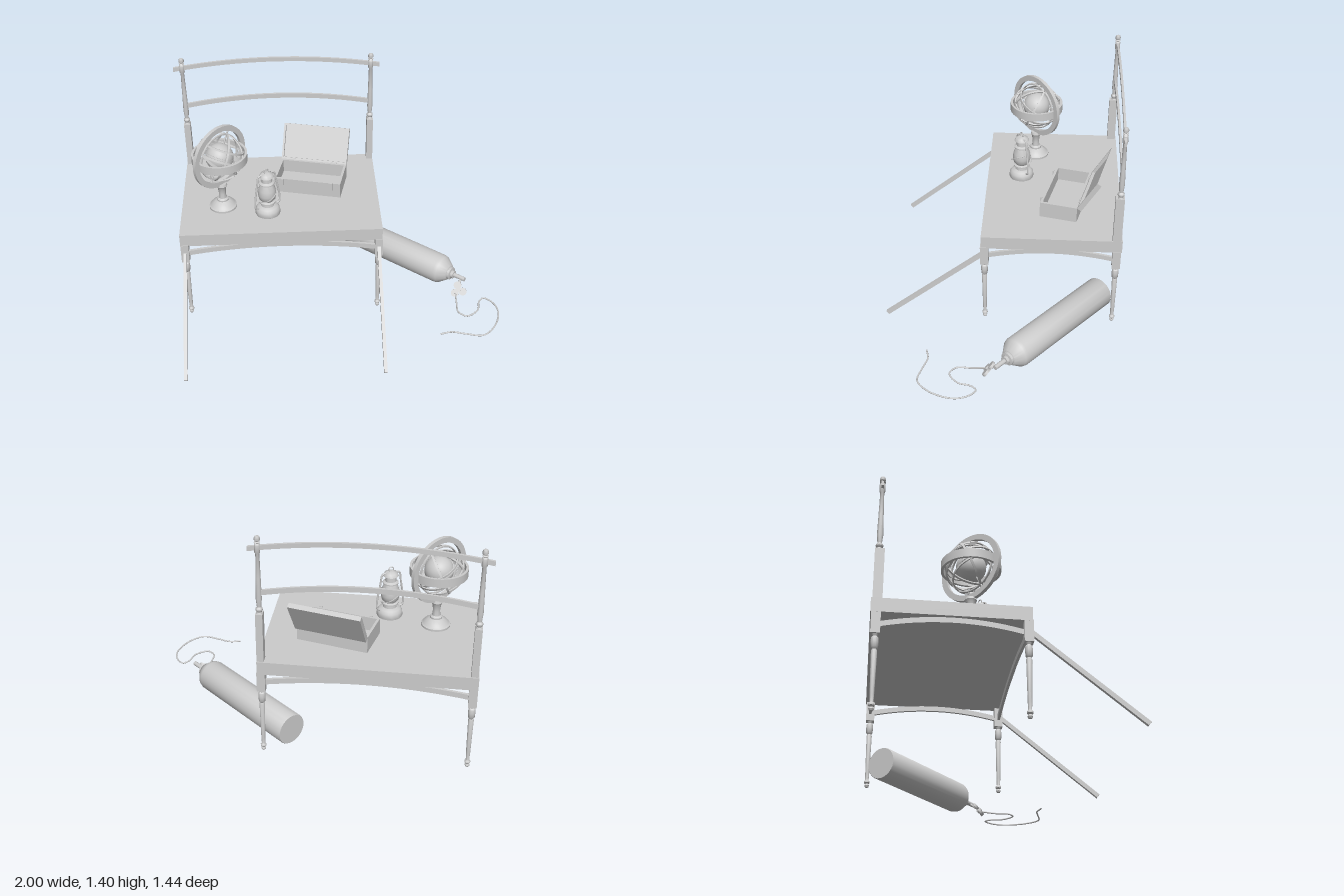
import * as THREE from 'three';
import { toCreasedNormals } from 'three/addons/utils/BufferGeometryUtils.js';

const mat = new THREE.MeshStandardMaterial({ color: 0xcccccc, side: THREE.DoubleSide });
const V = (x, y, z) => new THREE.Vector3(x, y, z);

function add(parent, name, geo, x = 0, y = 0, z = 0) {
  const m = new THREE.Mesh(geo, mat);
  m.name = name;
  m.position.set(x, y, z);
  parent.add(m);
  return m;
}
function group(parent, name, x = 0, y = 0, z = 0) {
  const g = new THREE.Group();
  g.name = name;
  g.position.set(x, y, z);
  parent.add(g);
  return g;
}
const box = (w, h, d) => new THREE.BoxGeometry(w, h, d);
// Turned profile given as [radius, height] pairs, bottom to top
const turned = (pts, seg = 20) => toCreasedNormals(
  new THREE.LatheGeometry(pts.map(p => new THREE.Vector2(p[0], p[1])), seg), 0.7);
// Flat hoop around the y axis
const hoop = (rIn, rOut, h, seg = 48) => turned(
  [[rOut, -h / 2], [rOut, h / 2], [rIn, h / 2], [rIn, -h / 2], [rOut, -h / 2]], seg);
const tube = (pts, r, seg = 40) => new THREE.TubeGeometry(new THREE.CatmullRomCurve3(pts), seg, r, 8);

// Bowed bar of constant thickness, running along x and centred on z
function bowedBar(half, yEnd, yMid, thick, depth) {
  const t = thick / 2, c = 2 * yMid - yEnd, s = new THREE.Shape();
  s.moveTo(-half, yEnd - t);
  s.quadraticCurveTo(0, c - t, half, yEnd - t);
  s.lineTo(half, yEnd + t);
  s.quadraticCurveTo(0, c + t, -half, yEnd + t);
  const g = new THREE.ExtrudeGeometry(s, { depth, bevelEnabled: false, curveSegments: 20 });
  g.translate(0, 0, -depth / 2);
  return toCreasedNormals(g, 0.5);
}

const XL = -0.945, XR = 0.235, XC = -0.355, ZF = 0.1, ZB = -0.69, TOP = 0.63;

function buildTable(root) {
  const table = group(root, 'table');
  add(table, 'tableTop', box(1.225, 0.08, 0.84), -0.357, 0.59, -0.3);
  const legProfile = [[0, 0.01], [0.01, 0.01], [0.014, 0.02], [0.01, 0.03], [0.017, 0.038], [0.017, 0.046],
    [0.01, 0.055], [0.012, 0.1], [0.016, 0.335], [0.012, 0.345], [0.019, 0.355], [0.021, 0.385],
    [0.019, 0.41], [0.012, 0.418], [0.017, 0.43]];
  const postProfile = [[0.019, 0.925], [0.013, 0.94], [0.02, 0.95], [0.02, 0.96], [0.012, 0.97], [0.017, 1.02],
    [0.014, 1.15], [0.011, 1.29], [0.016, 1.3], [0.016, 1.345], [0.01, 1.352], [0.017, 1.358], [0.01, 1.364],
    [0.016, 1.37], [0.017, 1.38], [0.012, 1.392], [0, 1.396]];
  for (const x of [XL, XR]) {
    for (const z of [ZF, ZB]) {
      add(table, 'turnedLeg', turned(legProfile, 16), x, 0, z);
      add(table, 'legBlock', box(0.048, 0.125, 0.05), x, 0.4925, z);
    }
    // Back post above the top
    add(table, 'backPostBlock', box(0.04, 0.3, 0.052), x, 0.78, ZB + 0.003);
    add(table, 'turnedBackPost', turned(postProfile, 16), x, 0, ZB);
    // Slanting prop from the front leg to the floor
    const prop = add(table, 'slantedProp', box(0.02, 0.026, 0.765), x, 0.25, 0.415);
    prop.rotation.x = Math.atan2(0.48, 0.595);
    const apron = add(table, 'sideApron', bowedBar(0.39, 0.485, 0.533, 0.03, 0.016), x, 0, -0.295);
    apron.rotation.y = Math.PI / 2;
  }
  for (const z of [ZF, ZB]) add(table, 'longApron', bowedBar(0.58, 0.485, 0.533, 0.032, 0.016), XC, 0, z);
  add(table, 'upperRail', bowedBar(0.645, 1.318, 1.373, 0.027, 0.014), XC, 0, ZB);
  add(table, 'lowerRail', bowedBar(0.585, 1.058, 1.115, 0.03, 0.014), XC, 0, ZB);
}

function buildArmillary(root) {
  const g = group(root, 'armillarySphere', -0.715, TOP, -0.178);
  add(g, 'stand', turned([[0, 0], [0.085, 0], [0.085, 0.012], [0.074, 0.018], [0.068, 0.03], [0.045, 0.045],
    [0.035, 0.05], [0.035, 0.06], [0.024, 0.068], [0.021, 0.1], [0.026, 0.14], [0.034, 0.155], [0.03, 0.17], [0, 0.17]], 28));
  const s = group(g, 'rings', 0, 0.363, 0);
  const meridian = add(s, 'meridianRing', hoop(0.17, 0.203, 0.022));
  meridian.rotation.set(Math.PI / 2, Math.PI / 4, 0, 'YXZ');
  add(s, 'horizonBand', hoop(0.153, 0.168, 0.052));
  // Inner cage, tilted in the plane of the meridian
  const cage = group(s, 'innerCage');
  cage.rotation.set(0, Math.PI / 4, -0.5, 'YXZ');
  add(cage, 'axisRod', new THREE.CylinderGeometry(0.005, 0.005, 0.35, 8));
  add(cage, 'globe', new THREE.SphereGeometry(0.085, 28, 18));
  add(cage, 'globeBelt', hoop(0.083, 0.09, 0.012));
  add(cage, 'equatorRing', hoop(0.142, 0.15, 0.014));
  for (const k of [-1, 1]) add(cage, 'tropicRing', hoop(0.127, 0.134, 0.012), 0, k * 0.062, 0);
  for (const a of [0, Math.PI / 3, -Math.PI / 3]) {
    const r = add(cage, 'colureRing', hoop(0.14, 0.148, 0.012));
    r.rotation.set(Math.PI / 2, a, 0, 'YXZ');
  }
  add(cage, 'eclipticRing', hoop(0.136, 0.143, 0.016)).rotation.x = 0.42;
}

function buildLantern(root) {
  const g = group(root, 'lantern', -0.437, TOP, -0.095);
  g.rotation.y = 0.52;
  add(g, 'fuelTank', turned([[0, 0], [0.075, 0], [0.078, 0.01], [0.074, 0.035], [0.062, 0.05], [0.04, 0.058],
    [0.038, 0.075], [0.05, 0.08], [0.05, 0.088], [0.035, 0.095]], 24));
  add(g, 'glassChimney', turned([[0.035, 0.09], [0.05, 0.11], [0.057, 0.14], [0.052, 0.175], [0.038, 0.215]], 24));
  add(g, 'ventCap', turned([[0.038, 0.21], [0.047, 0.215], [0.047, 0.222], [0.033, 0.23], [0.031, 0.262],
    [0.046, 0.265], [0.038, 0.282], [0.018, 0.292], [0, 0.293]], 24));
  for (const k of [-1, 1]) {
    add(g, 'sideTube', tube([V(k * 0.06, 0.045, 0), V(k * 0.082, 0.055, 0), V(k * 0.086, 0.09, 0),
      V(k * 0.066, 0.22, 0), V(k * 0.055, 0.275, 0), V(k * 0.03, 0.285, 0)], 0.006));
    add(g, 'guardWire', tube([V(-0.062, 0.14 - k * 0.04, 0), V(-0.03, 0.14 - k * 0.02, k * 0.057),
      V(0.03, 0.14 + k * 0.02, k * 0.057), V(0.062, 0.14 + k * 0.04, 0)], 0.003, 20));
  }
  add(g, 'topLoop', new THREE.TorusGeometry(0.015, 0.003, 8, 20), 0, 0.304, 0);
}

// Open tray: floor plus four walls
function tray(parent, name, w, h, d, t) {
  const g = group(parent, name);
  add(g, 'floorPanel', box(w, t, d), 0, t / 2, 0);
  for (const k of [-1, 1]) {
    add(g, 'longWall', box(w, h, t), 0, h / 2, k * (d - t) / 2);
    add(g, 'endWall', box(t, h, d - 2 * t), k * (w - t) / 2, h / 2, 0);
  }
  return g;
}

function buildChest(root) {
  const W = 0.425, D = 0.23, H = 0.1, L = 0.03;
  const g = group(root, 'chest', -0.164, TOP, -0.384);
  g.rotation.y = -0.23;
  tray(g, 'chestBody', W, H, D, 0.015);
  const hinge = group(g, 'lidHinge', 0, H, -D / 2);
  hinge.rotation.x = Math.PI / 2 - 0.52;
  // The lid's hollow side faces forward when open
  const lid = tray(hinge, 'lid', W, L, D, 0.012);
  lid.position.set(0, -L, -D / 2);
  for (const k of [-1, 1]) {
    add(g, 'frontClasp', box(0.016, 0.05, 0.012), k * 0.155, 0.078, D / 2 + 0.005);
    const barrel = add(g, 'hingeBarrel', new THREE.CylinderGeometry(0.006, 0.006, 0.04, 10), k * 0.13, H, -D / 2);
    barrel.rotation.z = Math.PI / 2;
  }
}

function buildCylinder(root) {
  const g = group(root, 'gasCylinder', 0.08, 0.11, -0.614);
  g.quaternion.setFromUnitVectors(V(0, 1, 0), V(0.764, 0, 0.646).normalize());
  add(g, 'tankBody', turned([[0, 0], [0.092, 0], [0.095, 0.006], [0.095, 0.765], [0.09, 0.785], [0.05, 0.838],
    [0.042, 0.84], [0.042, 0.855], [0.026, 0.858], [0.026, 0.875], [0, 0.875]], 40));
  add(g, 'valveStem', new THREE.CylinderGeometry(0.014, 0.014, 0.09, 14), 0, 0.91, 0);
  // Valve wheel of three lobes on a short side arm
  const valve = group(root, 'valve');
  add(valve, 'sideArm', tube([V(0.785, 0.11, -0.02), V(0.775, 0.085, 0.015), V(0.765, 0.06, 0.05)], 0.008, 12));
  const wheel = group(valve, 'valveWheel', 0.765, 0.06, 0.045);
  wheel.quaternion.setFromUnitVectors(V(0, 1, 0), V(-0.2, 0.6, 0.75).normalize());
  add(wheel, 'wheelHub', new THREE.CylinderGeometry(0.014, 0.014, 0.03, 12));
  for (let i = 0; i < 3; i++) {
    const a = i * Math.PI * 2 / 3 + 0.5;
    add(wheel, 'wheelLobe', new THREE.CylinderGeometry(0.025, 0.025, 0.016, 16),
      0.03 * Math.cos(a), 0, 0.03 * Math.sin(a));
  }
  // Hose lying in a loose curl
  const path = [[0.745, 0.06], [0.74, 0.15], [0.74, 0.23], [0.79, 0.27], [0.865, 0.215], [0.885, 0.14],
    [0.92, 0.105], [0.975, 0.16], [0.99, 0.25], [0.94, 0.38], [0.86, 0.45], [0.75, 0.43], [0.67, 0.41], [0.6, 0.425]];
  add(root, 'hose', tube(path.map(([x, z], i) => V(x, i ? 0.035 : 0.045, z)), 0.005, 120));
}

export function createModel() {
  const root = new THREE.Group();
  root.name = 'tableWithInstruments';
  buildTable(root);
  buildArmillary(root);
  buildLantern(root);
  buildChest(root);
  buildCylinder(root);
  return root;
}
